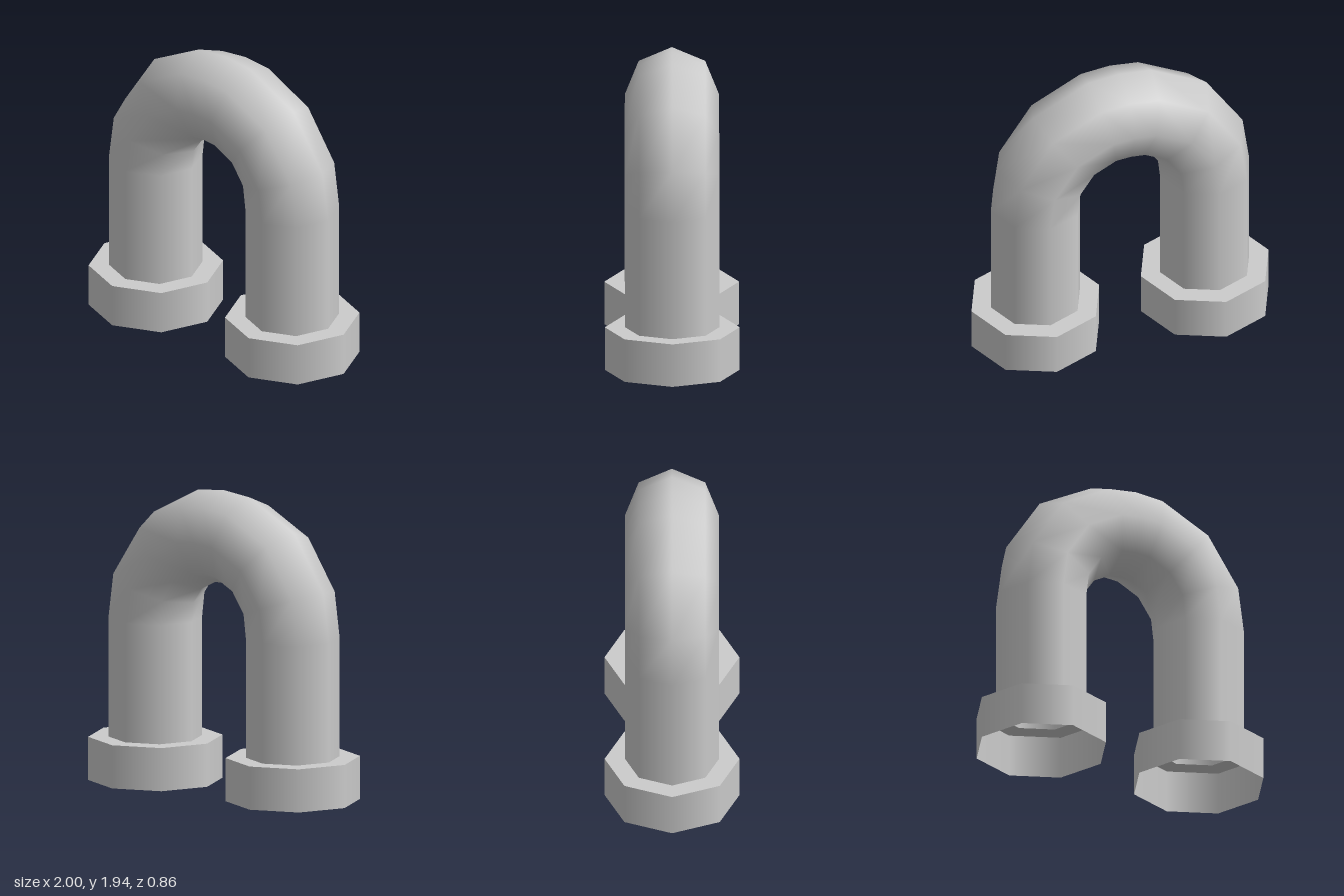
import * as THREE from 'three';

const SIDES = 8;
const LEG_X = 0.57;
const TUBE_R = 0.3;
const COLLAR_R = 0.43;
const COLLAR_H = 0.28;

// Smooth octagonal tube swept through [x, y, tilt in degrees] sections
function sweepTube(sections) {
  const pos = [], nor = [], idx = [];
  sections.forEach(([x, y, deg], i) => {
    const tilt = THREE.MathUtils.degToRad(deg);
    for (let j = 0; j < SIDES; j++) {
      const a = (j / SIDES) * Math.PI * 2;
      const n = [Math.cos(a) * Math.cos(tilt), Math.cos(a) * Math.sin(tilt), Math.sin(a)];
      nor.push(...n);
      pos.push(x + TUBE_R * n[0], y + TUBE_R * n[1], TUBE_R * n[2]);
      if (i < sections.length - 1) {
        const p = i * SIDES + j, q = i * SIDES + ((j + 1) % SIDES);
        idx.push(p, p + SIDES, q, q, p + SIDES, q + SIDES);
      }
    }
  });
  const geo = new THREE.BufferGeometry();
  geo.setAttribute('position', new THREE.Float32BufferAttribute(pos, 3));
  geo.setAttribute('normal', new THREE.Float32BufferAttribute(nor, 3));
  geo.setIndex(idx);
  return geo;
}

export function createModel() {
  const model = new THREE.Group();
  model.name = 'archedPipe';
  const material = new THREE.MeshStandardMaterial({ color: 0xcccccc, side: THREE.DoubleSide });

  const add = (parent, name, geometry) => {
    const mesh = new THREE.Mesh(geometry, material);
    mesh.name = name;
    parent.add(mesh);
    return mesh;
  };

  // Bent pipe: left half of the path, then its mirror image
  const half = [
    [LEG_X, COLLAR_H, 0],
    [LEG_X, 1.05, 0],
    [0.54, 1.275, 18.4],
    [0.385, 1.505, 49],
    [0.145, 1.628, 77],
  ];
  const mirrored = half.map(([x, y, deg]) => [-x, y, 180 - deg]).reverse();
  add(model, 'bentPipe', sweepTube([...half, [0, 1.642, 90], ...mirrored]));

  // Collars: open-bottomed octagonal wall with a flat rim around the pipe
  for (const side of [1, -1]) {
    const collar = new THREE.Group();
    collar.name = side > 0 ? 'leftCollar' : 'rightCollar';
    collar.position.x = side * LEG_X;
    const wall = new THREE.CylinderGeometry(COLLAR_R, COLLAR_R, COLLAR_H, SIDES, 1, true);
    add(collar, 'collarWall', wall.translate(0, COLLAR_H / 2, 0));
    const rim = new THREE.RingGeometry(TUBE_R, COLLAR_R, SIDES);
    add(collar, 'collarRim', rim.rotateX(-Math.PI / 2).translate(0, COLLAR_H, 0));
    model.add(collar);
  }
  return model;
}
